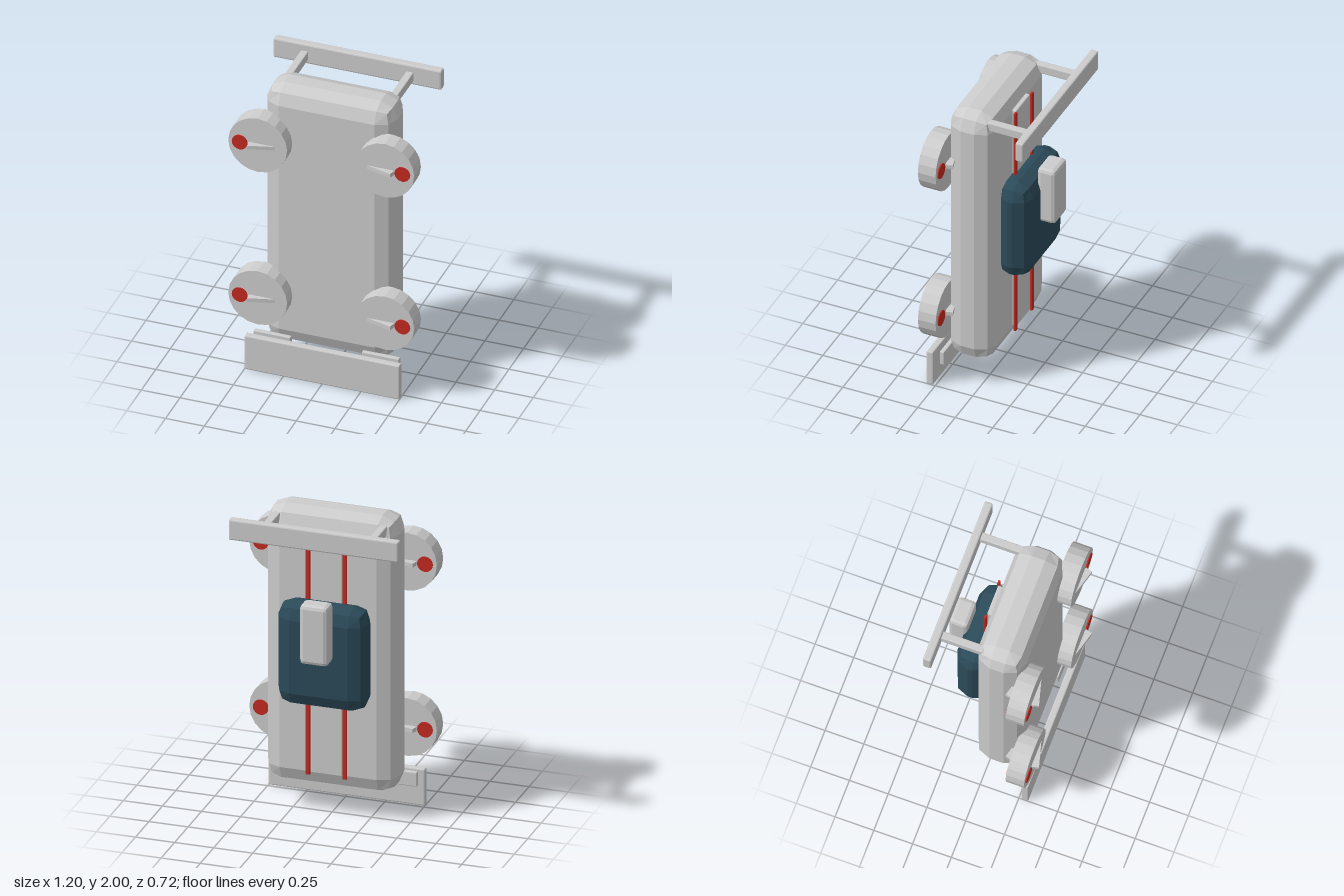
import * as THREE from 'three';
import { RoundedBoxGeometry } from 'three/addons/geometries/RoundedBoxGeometry.js';

const grey = new THREE.MeshStandardMaterial({ color: 0xcccccc });
grey.name = 'light grey';
const red = new THREE.MeshStandardMaterial({ color: 0xc42a20 });
red.name = 'red';
const glass = new THREE.MeshStandardMaterial({ color: 0x2b4a59 });
glass.name = 'dark blue';

export function createModel() {
  const model = new THREE.Group();
  model.name = 'uprightCar';

  function add(name, geometry, material, x, y, z) {
    const mesh = new THREE.Mesh(geometry, material);
    mesh.name = name;
    mesh.position.set(x, y, z);
    model.add(mesh);
    return mesh;
  }

  // Faceted box with bevelled edges, given by its limits on each axis
  function block(name, material, [x0, x1], [y0, y1], [z0, z1], radius) {
    const g = new RoundedBoxGeometry(x1 - x0, y1 - y0, z1 - z0, 1, radius);
    g.computeVertexNormals();
    return add(name, g, material, (x0 + x1) / 2, (y0 + y1) / 2, (z0 + z1) / 2);
  }

  // Disc with its axis along z and flat-shaded sides
  function disc(radius, depth, sides) {
    const g = new THREE.CylinderGeometry(radius, radius, depth, sides).toNonIndexed();
    g.computeVertexNormals();
    return g.rotateX(Math.PI / 2);
  }

  // Body and cabin
  block('body', grey, [-0.42, 0.42], [0.18, 1.99], [-0.08, 0.23], 0.11);
  block('cabin', glass, [-0.288, 0.288], [0.765, 1.445], [-0.26, -0.03], 0.1);
  block('roofScoop', grey, [-0.09, 0.09], [1.11, 1.5], [-0.358, -0.235], 0.025);

  // Raised centre panel
  block('centrePanel', grey, [-0.1, 0.1], [0.29, 1.89], [-0.105, -0.07], 0.008);

  // Front splitter and rear wing
  block('splitter', grey, [-0.5, 0.5], [0.005, 0.245], [0.265, 0.31], 0.008);
  block('wing', grey, [-0.543, 0.543], [1.865, 2], [-0.355, -0.302], 0.01);

  const wheel = disc(0.19, 0.118, 20);
  const hub = disc(0.05, 0.132, 16);
  for (const s of [-1, 1]) {
    block('stripe', red, [s * 0.118 - 0.013, s * 0.118 + 0.013], [0.28, 1.89], [-0.115, -0.1], 0.003);
    block('wingStrut', grey, [s * 0.34 - 0.024, s * 0.34 + 0.024], [1.893, 1.953], [-0.31, -0.03], 0.006);
    block('splitterMount', grey, [s * 0.35 - 0.12, s * 0.35 + 0.12], [0.15, 0.245], [0.205, 0.235], 0.006);

    for (const y of [0.54, 1.63]) {
      add('wheel', wheel, grey, s * 0.41, y, 0.26);
      add('hub', hub, red, s * 0.525, y, 0.26);
      // Tilted levers showing on both faces of the wheel
      for (const f of [-1, 1]) {
        const lever = add('lever', new THREE.BoxGeometry(0.17, 0.026, 0.045), grey,
          s * 0.385, y, 0.258 + f * 0.063);
        lever.rotation.y = -s * f * 0.27;
      }
    }
  }
  return model;
}
